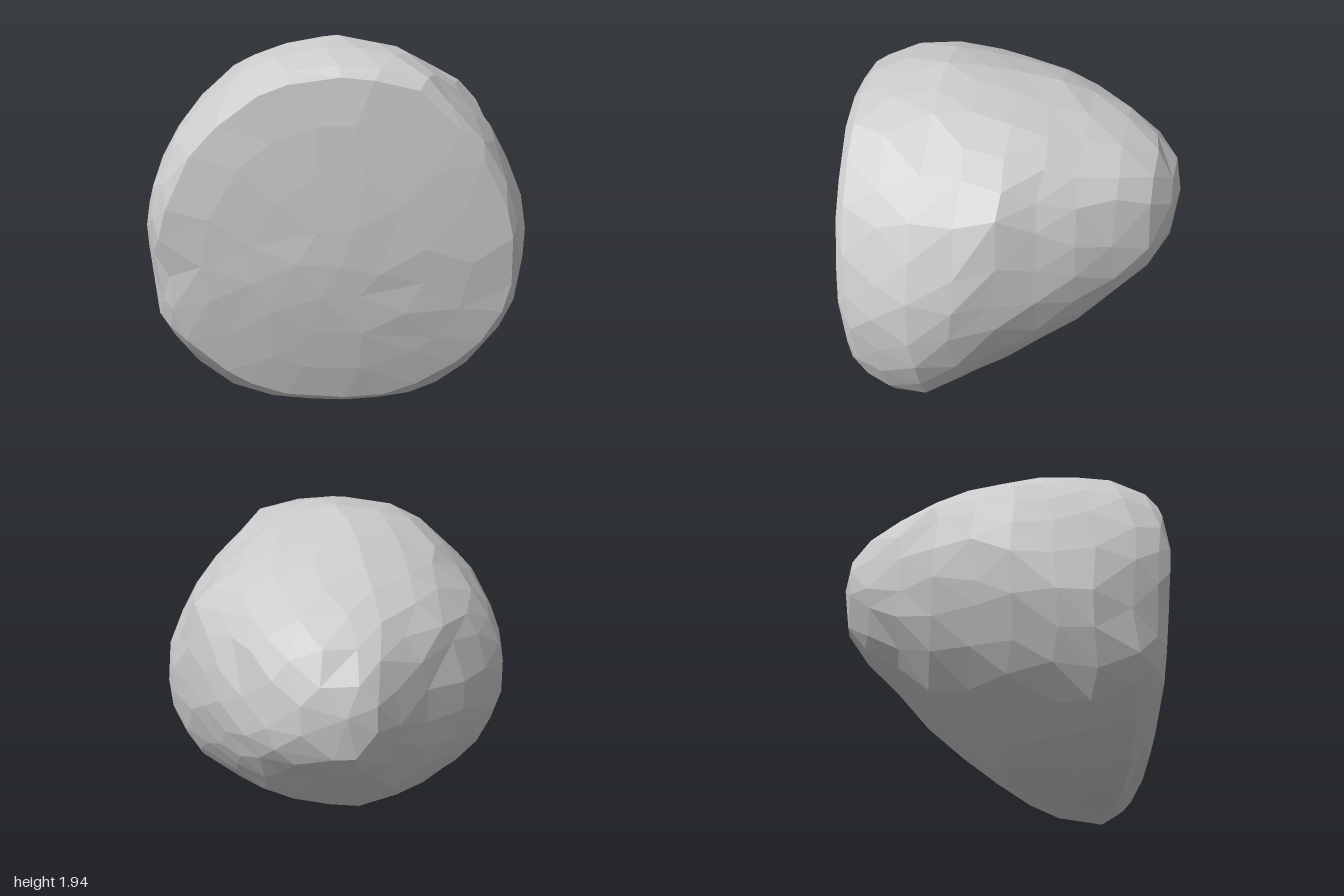
import * as THREE from 'three';

// Seeded jitter in the range -1..1
function makeRandom(seed) {
  return () => {
    seed = (seed * 16807) % 2147483647;
    return (seed / 2147483647) * 2 - 1;
  };
}

// Slightly domed, slightly tilted front face
function frontZ(x, y) {
  const d = y - 1.1;
  return 0.88 - 0.1 * x * x - (d > 0 ? 0.08 : 0.15) * d * d;
}

// Sections: left x, right x, bottom y, top y, widest y, then corner squareness
// at upper right, upper left, lower left and lower right (2 is an ellipse)
const RIM = [-0.96, 0.93, 0.03, 1.86, 0.86, 1.85, 1.95, 2.1, 2.1];

// Body sections, front to back: z, number of points, section
const BODY = [
  [0.60, 28, [-0.99, 0.97, 0.00, 1.92, 0.86, 1.85, 2.0, 2.2, 2.2]],
  [0.40, 28, [-1.00, 1.00, 0.02, 1.94, 0.86, 1.85, 2.0, 2.15, 2.1]],
  [0.20, 28, [-0.98, 0.95, 0.08, 1.91, 0.92, 2.0, 2.0, 1.95, 1.9]],
  [0.00, 26, [-0.92, 0.85, 0.18, 1.86, 1.02, 2.3, 2.1, 1.85, 1.85]],
  [-0.19, 24, [-0.80, 0.75, 0.32, 1.82, 1.06, 2.4, 2.2, 1.82, 1.88]],
  [-0.38, 21, [-0.65, 0.65, 0.50, 1.76, 1.09, 2.5, 2.3, 1.85, 1.95]],
  [-0.57, 18, [-0.44, 0.53, 0.71, 1.69, 1.13, 2.7, 2.3, 1.9, 2.1]],
  [-0.74, 14, [-0.27, 0.40, 0.88, 1.59, 1.18, 2.8, 2.3, 2.0, 2.2]],
  [-0.84, 8, [-0.16, 0.24, 1.02, 1.45, 1.24, 2.5, 2.2, 2.0, 2.1]],
];

// Point on a lopsided, rounded section
function sectionPoint([xL, xR, yB, yT, yM, ...corners], a) {
  const c = Math.cos(a), s = Math.sin(a);
  const e = 2 / corners[s > 0 ? (c > 0 ? 0 : 1) : (c > 0 ? 3 : 2)];
  const x = Math.pow(Math.abs(c), e) * (c > 0 ? xR : xL);
  const y = yM + Math.pow(Math.abs(s), e) * (s > 0 ? yT - yM : yB - yM);
  return [x, y];
}

// Knobs and dents: where, how far pushed
const LUMPS = [
  { at: new THREE.Vector3(0.75, 1.5, 0.02), push: new THREE.Vector3(0.03, 0.055, 0) }, // right shoulder
  { at: new THREE.Vector3(0.42, 1.74, 0.74), push: new THREE.Vector3(0.02, 0.06, 0) }, // upper right rim corner
  { at: new THREE.Vector3(-0.93, 0.74, 0.76), push: new THREE.Vector3(0.06, 0, -0.02) }, // chip in the left rim
];

function rockGeometry() {
  const random = makeRandom(4711);
  const positions = [];
  const index = [];
  const rings = [];

  const addRing = (count, section, scale, zAt, wobble) => {
    const ring = { start: positions.length / 3, count, angles: [] };
    const stagger = rings.length % 2 ? 0.5 : 0;
    for (let i = 0; i < count; i++) {
      const a = ((i + stagger + random() * 0.22) / count) * Math.PI * 2;
      const [ox, oy] = sectionPoint(section, a);
      const k = scale * (1 + 0.008 * random());
      const base = new THREE.Vector3(ox * k, section[4] + (oy - section[4]) * k, 0);
      base.z = zAt(base.x, base.y) + random() * wobble;
      const p = base.clone();
      for (const { at, push } of LUMPS) {
        p.addScaledVector(push, Math.exp(-base.distanceToSquared(at) / 0.025));
      }
      positions.push(p.x, p.y, p.z);
      ring.angles.push(a);
    }
    ring.angles.push(ring.angles[0] + Math.PI * 2);
    rings.push(ring);
  };

  // Front face rings, from the middle out to the rounded rim
  [[6, 0.22], [12, 0.47], [18, 0.72], [26, 0.95]].forEach(([count, scale]) =>
    addRing(count, RIM, scale, frontZ, 0.005));
  addRing(28, RIM, 1, (x, y) => frontZ(x, y) - 0.05, 0.015);

  // Body rings, tapering to the blunt back
  for (const [z, count, section] of BODY) {
    addRing(count, section, 1, () => z, z < -0.5 ? 0.012 : 0.022);
  }

  // Stitch neighbouring rings, stepping along whichever lags in angle
  for (let r = 0; r < rings.length - 1; r++) {
    const f = rings[r], b = rings[r + 1];
    const at = (ring, i) => ring.start + (i % ring.count);
    let i = 0, j = 0;
    while (i < f.count || j < b.count) {
      const stepFront = j >= b.count || (i < f.count && f.angles[i + 1] < b.angles[j + 1]);
      index.push(at(f, i), at(b, j), stepFront ? at(f, i + 1) : at(b, j + 1));
      if (stepFront) i++;
      else j++;
    }
  }

  // Closing fans at the front middle and the back tip
  const front = positions.length / 3;
  positions.push(0, 0.86, frontZ(0, 0.86), 0, 1.28, -0.88);
  const first = rings[0], last = rings[rings.length - 1];
  for (let i = 0; i < first.count; i++) {
    index.push(front, i, (i + 1) % first.count);
  }
  for (let i = 0; i < last.count; i++) {
    index.push(front + 1, last.start + ((i + 1) % last.count), last.start + i);
  }

  const geometry = new THREE.BufferGeometry();
  geometry.setAttribute('position', new THREE.Float32BufferAttribute(positions, 3));
  geometry.setIndex(index);
  const faceted = geometry.toNonIndexed();
  faceted.computeVertexNormals();
  return faceted;
}

export function createModel() {
  const group = new THREE.Group();
  group.name = 'boulder';
  const material = new THREE.MeshStandardMaterial({ color: 0xcccccc, flatShading: true });
  const rock = new THREE.Mesh(rockGeometry(), material);
  rock.name = 'rock';

  // Rest on the ground, centred
  const box = new THREE.Box3().setFromObject(rock);
  const centre = box.getCenter(new THREE.Vector3());
  rock.position.set(-centre.x, -box.min.y, -centre.z);
  group.add(rock);
  return group;
}
